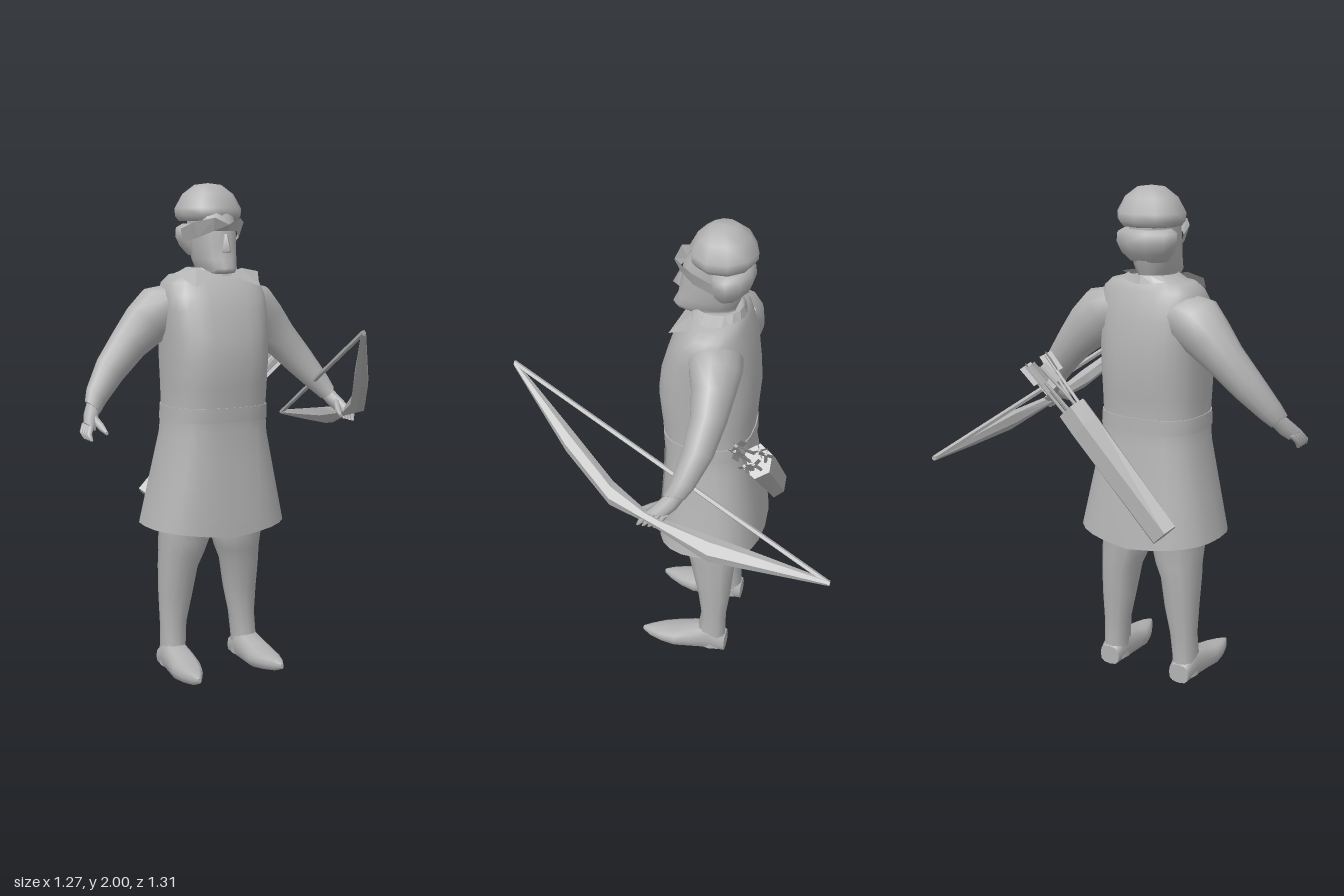
import * as THREE from 'three';

const CX = -0.035; // body centre line
const V = (x, y, z) => new THREE.Vector3(x, y, z);
const X = V(1, 0, 0), Y = V(0, 1, 0), Z = V(0, 0, 1);
const grey = new THREE.MeshStandardMaterial({ color: 0xb2b2b2, side: THREE.DoubleSide });
grey.name = 'plain grey';

// closed cross-section in the plane u,v; p > 2 makes it boxier
function ring(c, u, v, ru, rv, n = 12, p = 2) {
  return Array.from({ length: n }, (_, i) => {
    const a = (i / n) * Math.PI * 2, k = (t) => Math.sign(t) * Math.abs(t) ** (2 / p);
    return c.clone().addScaledVector(u, ru * k(Math.cos(a))).addScaledVector(v, rv * k(Math.sin(a)));
  });
}

// skin through rings with closed ends, always facing outward
function loft(rings, flat = false) {
  const n = rings[0].length, pts = rings.flat(), idx = [];
  for (let r = 0; r < rings.length - 1; r++) {
    for (let i = 0; i < n; i++) {
      const a = r * n + i, b = r * n + (i + 1) % n;
      idx.push(a, b, a + n, b, b + n, a + n);
    }
  }
  for (const r of [0, rings.length - 1]) {
    const base = pts.length;
    pts.push(...rings[r].map((q) => q.clone()));
    for (let i = 1; i < n - 1; i++) idx.push(...(r ? [base, base + i, base + i + 1] : [base, base + i + 1, base + i]));
  }
  let volume = 0;
  for (let i = 0; i < idx.length; i += 3) {
    volume += pts[idx[i]].dot(pts[idx[i + 1]].clone().cross(pts[idx[i + 2]]));
  }
  if (volume < 0) idx.reverse();
  let g = new THREE.BufferGeometry().setFromPoints(pts);
  g.setIndex(idx);
  if (flat) g = g.toNonIndexed();
  g.computeVertexNormals();
  return g;
}

// horizontal section from [y, halfWidth, zFront, zBack]
const level = ([y, w, f, b], n = 16, p = 2, x = CX) => ring(V(x, y, (f + b) / 2), X, Z, w, (f - b) / 2, n, p);

// open strip between two edges of points
function strip(a, b) {
  const pos = [];
  for (let i = 0; i < a.length - 1; i++) {
    for (const q of [a[i], b[i], a[i + 1], b[i], b[i + 1], a[i + 1]]) pos.push(...q);
  }
  const g = new THREE.BufferGeometry();
  g.setAttribute('position', new THREE.Float32BufferAttribute(pos, 3));
  g.computeVertexNormals();
  return g;
}

// tunic profile: y, half width, front z, back z
const TUNIC = [
  [0.6, 0.3, 0.14, -0.295], [0.8, 0.262, 0.128, -0.27], [1.0, 0.218, 0.115, -0.24], [1.1, 0.208, 0.12, -0.235],
  [1.2, 0.21, 0.132, -0.242], [1.3, 0.213, 0.142, -0.25], [1.4, 0.215, 0.13, -0.245], [1.5, 0.222, 0.1, -0.232],
  [1.56, 0.22, 0.075, -0.215], [1.61, 0.205, 0.04, -0.2], [1.64, 0.17, 0.015, -0.185], [1.65, 0.1, -0.01, -0.165],
];
function tunicAt(y) {
  const i = Math.max(1, TUNIC.findIndex((r) => r[0] >= y));
  const a = TUNIC[i - 1], b = TUNIC[i], t = (y - a[0]) / (b[0] - a[0]);
  return a.map((v, k) => v + (b[k] - v) * t);
}

export function createModel() {
  const model = new THREE.Group();
  const add = (name, g, parent = model) => {
    const m = new THREE.Mesh(g, grey);
    m.name = name;
    parent.add(m);
    return m;
  };
  const group = (name) => {
    const g = new THREE.Group();
    g.name = name;
    model.add(g);
    return g;
  };

  // tunic, with the hem dipping at front and back
  const tunic = TUNIC.map((r) => level(r, 24, 2.6));
  tunic[0].forEach((q) => { q.y = 0.595 + 0.035 * Math.abs(q.x - CX) / 0.3; });
  add('tunic', loft(tunic));
  add('belt', loft([1.06, 1.12].map((y) => {
    const [, w, f, b] = tunicAt(y);
    return level([y, w + 0.004, f + 0.004, b - 0.004], 24, 2.6);
  })));

  // apron panel bent onto the tunic front
  const apron = new THREE.PlaneGeometry(0.27, 0.375, 10, 6).translate(-0.045, 0.843, 0);
  const ap = apron.attributes.position;
  for (let i = 0; i < ap.count; i++) {
    const [, w, f, b] = tunicAt(ap.getY(i));
    const t = (1 - (Math.abs(ap.getX(i) - CX) / w) ** 2.6) ** (1 / 2.6);
    ap.setZ(i, (f + b) / 2 + (f - b) / 2 * t + 0.005);
  }
  apron.computeVertexNormals();
  add('apron', apron);

  for (const s of [1, -1]) {
    const side = s > 0 ? 'left' : 'right';
    const P = (x, y, z) => V(CX + s * x, y, z);

    // arm: dx, y, z, radius across, radius in z
    const across = V(s * 0.72, 0.69, 0);
    const arm = [[0.12, 1.53, -0.105, 0.1, 0.1], [0.19, 1.505, -0.115, 0.115, 0.105], [0.265, 1.445, -0.125, 0.1, 0.085],
      [0.34, 1.37, -0.125, 0.08, 0.07], [0.43, 1.27, -0.105, 0.066, 0.06], [0.505, 1.175, -0.065, 0.048, 0.048],
      [0.53, 1.135, -0.04, 0.037, 0.042]];
    add(side + 'Arm', loft(arm.map(([x, y, z, a, b]) => ring(P(x, y, z), across, Z, a, b, 12))));

    // hand with curled fingers and a thumb
    const hand = group(side + 'Hand');
    const palm = [[0.525, 1.14, -0.045, 0.03, 0.038], [0.55, 1.1, -0.01, 0.03, 0.045], [0.568, 1.07, 0.025, 0.025, 0.045]];
    add('palm', loft(palm.map(([x, y, z, a, b]) => ring(P(x, y, z), across, Z, a, b, 8))), hand);
    for (let f = 0; f < 4; f++) {
      const k = f * 0.022;
      add('finger', loft([[0.57, 1.08, k - 0.015, 0.014], [0.588, 1.05, k + 0.005, 0.013], [0.583, 1.025, k + 0.02, 0.007]]
        .map(([x, y, z, r]) => ring(P(x, y, z), X, Z, r, r, 6))), hand);
    }
    add('thumb', loft([[0.545, 1.1, 0.02, 0.016], [0.53, 1.07, 0.055, 0.015], [0.522, 1.05, 0.09, 0.007]]
      .map(([x, y, z, r]) => ring(P(x, y, z), X, Y, r, r, 6))), hand);

    // leg: y, half width, front z, back z, dx
    const leg = [[0.66, 0.1, 0.03, -0.21, 0.115], [0.56, 0.1, 0.02, -0.2, 0.12], [0.5, 0.09, 0.0, -0.198, 0.128],
      [0.44, 0.078, -0.015, -0.193, 0.142], [0.32, 0.068, -0.042, -0.183, 0.15], [0.2, 0.054, -0.06, -0.168, 0.16],
      [0.1, 0.05, -0.045, -0.167, 0.166], [0.02, 0.052, -0.04, -0.17, 0.168]];
    add(side + 'Leg', loft(leg.map((r) => level(r, 12, 2.3, CX + s * r[4]))));

    // pointed shoe: z, dx, half width, bottom, top
    const shoe = [[-0.17, 0.168, 0.045, 0, 0.08], [-0.1, 0.168, 0.054, 0, 0.13], [-0.02, 0.17, 0.06, 0, 0.105],
      [0.05, 0.174, 0.063, 0, 0.082], [0.11, 0.18, 0.05, 0.008, 0.074], [0.165, 0.186, 0.027, 0.018, 0.066],
      [0.2, 0.188, 0.006, 0.035, 0.056]];
    add(side + 'Shoe', loft(shoe.map(([z, x, w, b, t]) => ring(P(x, (b + t) / 2, z), X, Y, w, (t - b) / 2, 12, 2.8))));

    // collar flap
    add(side + 'CollarFlap', strip([P(0.02, 1.645, 0.035), P(0.1, 1.665, 0.0)], [P(0.14, 1.595, 0.078), P(0.185, 1.65, -0.02)]));
  }

  // neck, face and beard
  const head = group('head');
  add('face', loft([[1.57, 0.08, 0, -0.17], [1.64, 0.07, 0.0, -0.16], [1.648, 0.055, 0.085, -0.15], [1.665, 0.066, 0.093, -0.155],
    [1.7, 0.077, 0.074, -0.17], [1.75, 0.083, 0.064, -0.185], [1.8, 0.086, 0.058, -0.195], [1.84, 0.086, 0.05, -0.195],
    [1.9, 0.08, 0.01, -0.19]].map((r) => level(r, 14, 2.3))), head);
  add('nose', loft([[1.725, 0.021, 0.082, 0.04], [1.735, 0.02, 0.096, 0.04], [1.8, 0.01, 0.064, 0.04]].map((r) => level(r, 4))), head);
  add('hair', loft([[1.715, 0.08, -0.06, -0.17], [1.75, 0.112, -0.05, -0.205], [1.79, 0.13, -0.045, -0.22],
    [1.825, 0.128, -0.045, -0.216], [1.84, 0.1, -0.06, -0.2]].map((r) => level(r, 10))), head);
  const arc = (pts) => [...pts.map(([x, y, z]) => [CX - x, y, z]), ...pts.slice(0, -1).reverse().map(([x, y, z]) => [CX + x, y, z])];
  add('brow', strip(
    arc([[0.13, 1.82, -0.08], [0.11, 1.845, 0.0], [0.055, 1.862, 0.075], [0, 1.835, 0.088]]),
    arc([[0.115, 1.765, -0.09], [0.09, 1.785, -0.005], [0.05, 1.81, 0.052], [0, 1.81, 0.064]])), head);

  // rounded cap
  const cap = add('cap', new THREE.LatheGeometry(
    [[0, 1.852], [0.118, 1.85], [0.134, 1.87], [0.136, 1.9], [0.104, 1.957], [0.055, 1.993], [0, 2]]
      .map(([r, y]) => new THREE.Vector2(r, y)), 10), head);
  cap.position.set(CX, 0, -0.1);
  cap.scale.z = 0.95;

  // raised collar band around the neck
  const band = [level([1.668, 0.095, 0.01, -0.18]), level([1.635, 0.165, 0.025, -0.19])]
    .map((r) => [...r, r[0]].map((q) => q.toArray()));
  add('collar', strip(band[0], band[1]));

  // quiver slung across the back
  const low = V(-0.215, 0.692, -0.305), mouth = V(0.21, 1.137, -0.297);
  const axis = mouth.clone().sub(low).normalize(), wide = V(axis.y, -axis.x, 0);
  const quiver = group('quiver');
  add('quiverCase', loft([ring(low, wide, Z, 0.066, 0.045, 6), ring(low.clone().lerp(mouth, 0.85), wide, Z, 0.07, 0.062, 6),
    ring(mouth, wide, Z, 0.07, 0.06, 6)], true), quiver);
  const UP = new THREE.Quaternion().setFromUnitVectors(Y, axis);
  for (let i = 0; i < 6; i++) {
    const a = i * 1.05 + 0.4, arrow = new THREE.Group(), length = 0.2 + 0.025 * (i % 3);
    arrow.name = 'arrow';
    arrow.position.copy(mouth).addScaledVector(wide, 0.036 * Math.cos(a)).addScaledVector(Z, 0.03 * Math.sin(a));
    arrow.quaternion.copy(UP).multiply(new THREE.Quaternion().setFromEuler(new THREE.Euler(0.13 * Math.sin(a), a, -0.1 * Math.cos(a))));
    add('shaft', new THREE.CylinderGeometry(0.007, 0.007, length, 5).translate(0, length / 2, 0), arrow);
    for (const turn of [0, Math.PI / 2]) {
      add('fletching', new THREE.PlaneGeometry(0.055, 0.09).translate(0, length - 0.04, 0).rotateY(turn), arrow);
    }
    quiver.add(arrow);
  }

  // bow held in the left hand: x, y, z, depth in its plane, thickness
  const bow = group('bow');
  const limb = [[0.225, 1.445, 0.655, 0.012, 0.01], [0.385, 1.245, 0.4, 0.046, 0.026], [0.5, 1.115, 0.2, 0.045, 0.034],
    [0.54, 1.065, 0.06, 0.022, 0.02], [0.555, 1.05, 0.0, 0.022, 0.02], [0.597, 1.008, -0.2, 0.048, 0.032],
    [0.608, 0.985, -0.42, 0.03, 0.022], [0.622, 0.962, -0.655, 0.01, 0.01]];
  const depth = V(0.66, -0.75, 0), thick = V(0.75, 0.66, 0);
  add('bowLimbs', loft(limb.map(([x, y, z, a, b]) => ring(V(x, y, z), depth, thick, a, b, 6)), true), bow);
  add('bowString', loft([limb[0], limb[7]].map(([x, y, z]) => ring(V(x, y, z * 0.995), X, Y, 0.011, 0.011, 5)), true), bow);

  return model;
}
